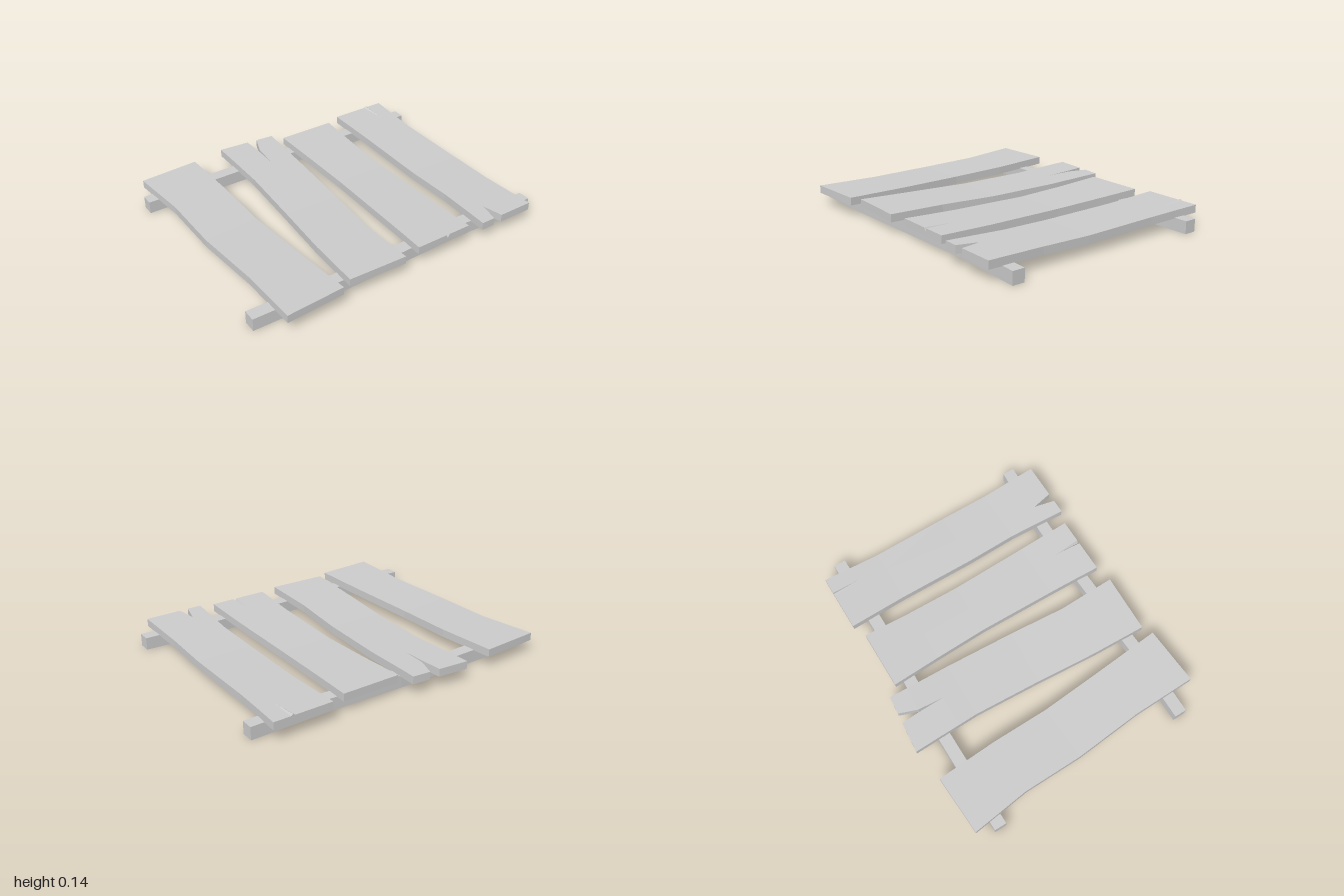
import * as THREE from 'three';

const material = new THREE.MeshStandardMaterial({ color: 0xcccccc, flatShading: true });
const THICK = 0.05, TOP = 0.13;

// planks hang slightly lower halfway between the beams
const sag = (z) => -0.017 * Math.pow(Math.cos(Math.min(1, Math.abs(z) / 0.8) * Math.PI / 2), 1.2);

// rows run back to front: [z left, z right, x left, x right, split left, split right, split]
// split: 'gap' = open through the board, a number = height change of the crack's middle line
function plankGeometry(rows) {
  const pos = [];
  const tri = (a, b, c) => {
    const area = new THREE.Vector3().crossVectors(b.clone().sub(a), c.clone().sub(a)).length();
    if (area > 1e-7) for (const p of [a, b, c]) pos.push(p.x, p.y, p.z);
  };
  const quad = (a, b, c, d) => { tri(a, b, c); tri(a, c, d); };

  const sections = rows.map(([zl, zr, xl, xr, nl, nr, split]) => {
    const xs = [xl, nl, (nl + nr) / 2, nr, xr];
    const top = xs.map((x, i) => {
      const z = THREE.MathUtils.lerp(zl, zr, (x - xl) / (xr - xl));
      const lift = i === 2 && typeof split === 'number' ? split : 0;
      return new THREE.Vector3(x, TOP + sag(z) + lift, z);
    });
    const bottom = top.map((p) => new THREE.Vector3(p.x, TOP - THICK + sag(p.z), p.z));
    return { top, bottom, gap: split === 'gap' };
  });

  for (let j = 0; j < sections.length - 1; j++) {
    const p = sections[j], q = sections[j + 1], gap = p.gap || q.gap;
    for (let i = 0; i < 4; i++) {
      if (gap && (i === 1 || i === 2)) continue;
      quad(p.top[i], q.top[i], q.top[i + 1], p.top[i + 1]);
      quad(p.bottom[i], p.bottom[i + 1], q.bottom[i + 1], q.bottom[i]);
    }
    // long sides, plus the walls of an open split
    for (const i of gap ? [0, 3] : [0]) quad(p.bottom[i], q.bottom[i], q.top[i], p.top[i]);
    for (const i of gap ? [4, 1] : [4]) quad(p.bottom[i], p.top[i], q.top[i], q.bottom[i]);
  }
  // sawn ends
  const back = sections[0], front = sections[sections.length - 1];
  for (let i = 0; i < 4; i++) {
    const inner = i === 1 || i === 2;
    if (!(inner && back.gap)) quad(back.bottom[i], back.top[i], back.top[i + 1], back.bottom[i + 1]);
    if (!(inner && front.gap)) quad(front.bottom[i], front.bottom[i + 1], front.top[i + 1], front.top[i]);
  }
  const geometry = new THREE.BufferGeometry();
  geometry.setAttribute('position', new THREE.Float32BufferAttribute(pos, 3));
  geometry.computeVertexNormals();
  return geometry;
}

// square beam along x whose centre line wanders a little in z
function beamGeometry(centres) {
  const n = centres.length - 1;
  const geometry = new THREE.BoxGeometry(2, 0.08, 0.078, n, 1, 1);
  const p = geometry.attributes.position;
  for (let i = 0; i < p.count; i++) {
    p.setZ(i, p.getZ(i) + centres[Math.round((p.getX(i) + 1) / 2 * n)]);
  }
  geometry.translate(0, 0.04, 0);
  const flat = geometry.toNonIndexed();
  flat.computeVertexNormals();
  return flat;
}

const PLANKS = {
  plankFarRight: [
    [-0.775, -0.796, -0.956, -0.577, -0.77, -0.77],
    [-0.4, -0.41, -0.908, -0.555, -0.73, -0.73],
    [-0.01, -0.03, -0.903, -0.55, -0.73, -0.73],
    [0.43, 0.41, -0.866, -0.518, -0.69, -0.69],
    [0.833, 0.81, -0.86, -0.487, -0.67, -0.67],
  ],
  plankSplitBack: [
    [-0.833, -0.8, -0.363, 0.016, -0.166, -0.1, 'gap'],
    [-0.69, -0.69, -0.359, 0.012, -0.158, -0.143, 'gap'],
    [-0.525, -0.525, -0.355, 0.008, -0.155, -0.155],
    [-0.4, -0.4, -0.352, 0.005, -0.16, -0.16],
    [0.03, 0.05, -0.375, -0.018, -0.19, -0.19],
    [0.42, 0.42, -0.406, -0.048, -0.22, -0.22],
    [0.775, 0.787, -0.422, -0.043, -0.23, -0.23],
  ],
  plankCrackedFront: [
    [-0.733, -0.733, 0.07, 0.449, 0.27, 0.27],
    [-0.42, -0.42, 0.085, 0.438, 0.27, 0.27],
    [-0.08, -0.08, 0.096, 0.433, 0.27, 0.27],
    [0.42, 0.42, 0.085, 0.443, 0.288, 0.288],
    [0.58, 0.58, 0.079, 0.446, 0.288, 0.288],
    [0.763, 0.763, 0.07, 0.449, 0.276, 0.3, -0.022],
  ],
  plankSplitFront: [
    [-0.77, -0.77, 0.545, 0.919, 0.785, 0.812, 0.01],
    [-0.59, -0.59, 0.55, 0.91, 0.81, 0.81],
    [-0.4, -0.4, 0.555, 0.902, 0.78, 0.78],
    [0.1, 0.1, 0.551, 0.907, 0.72, 0.72],
    [0.42, 0.42, 0.555, 0.902, 0.68, 0.68],
    [0.66, 0.66, 0.542, 0.909, 0.657, 0.657],
    [0.793, 0.793, 0.534, 0.913, 0.625, 0.684, 'gap'],
  ],
};

const BEAMS = {
  backBeam: [-0.633, -0.637, -0.64, -0.626, -0.633],
  frontBeam: [0.668, 0.674, 0.658, 0.644, 0.668],
};

export function createModel() {
  const group = new THREE.Group();
  group.name = 'plankPlatform';
  const add = (name, geometry) => {
    const mesh = new THREE.Mesh(geometry, material);
    mesh.name = name;
    group.add(mesh);
  };
  for (const [name, rows] of Object.entries(PLANKS)) add(name, plankGeometry(rows));
  for (const [name, centres] of Object.entries(BEAMS)) add(name, beamGeometry(centres));
  return group;
}
